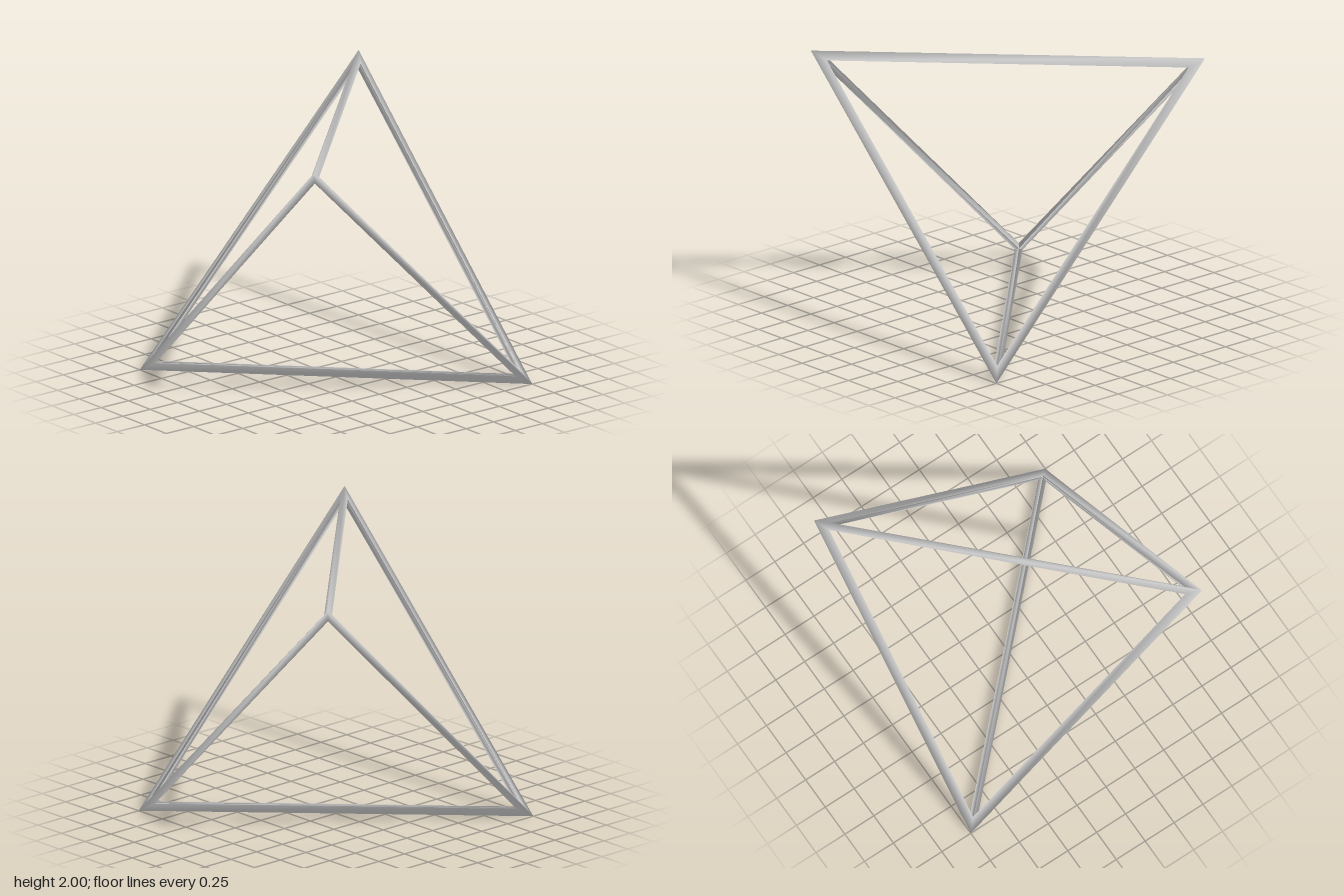
import * as THREE from 'three';

const RIDGE = 0.063;  // depth of a bar's side ridges below its sharp outer edge
const HALF = 0.028;   // half the width of a bar
const DEPTH = 0.059;  // depth of the nearly flat inner side

// The four tips sit on alternate corners of a cube.
const TIPS = [[-1, 1, 1], [1, -1, 1], [1, 1, -1], [-1, -1, -1]];

export function createModel() {
  const points = [];
  const index = [];

  // Each tip has five points: outer, three side ridges (long on x, y, z), inner.
  for (const tip of TIPS) {
    const insets = [[0, 0, 0]];
    for (let k = 0; k < 3; k++) {
      insets.push([0, 1, 2].map((i) => (i === k ? RIDGE + HALF * Math.SQRT2 : RIDGE)));
    }
    insets.push([DEPTH, DEPTH, DEPTH]);
    for (const d of insets) {
      points.push(new THREE.Vector3(...tip.map((s, i) => s * (1 - d[i]))));
    }
  }

  // Adds a triangle turned away from the middle of its bar.
  const addTriangle = (a, b, c, middle) => {
    const [p, q, r] = [a, b, c].map((i) => points[i]);
    const normal = new THREE.Vector3().subVectors(q, p).cross(new THREE.Vector3().subVectors(r, p));
    if (normal.dot(new THREE.Vector3().subVectors(p, middle)) > 0) index.push(a, b, c);
    else index.push(a, c, b);
  };

  // Six mitred wedge-section bars, one between every two tips.
  for (let v = 0; v < 4; v++) {
    for (let w = v + 1; w < 4; w++) {
      const axis = [0, 1, 2].find((i) => TIPS[v][i] === TIPS[w][i]);
      const b = 1 + ((axis + 1) % 3);
      const c = 1 + ((axis + 2) % 3);
      const start = [0, b, 4, c].map((i) => v * 5 + i);
      const end = [0, c, 4, b].map((i) => w * 5 + i);
      const middle = new THREE.Vector3();
      for (const i of [start[0], start[2], end[0], end[2]]) middle.addScaledVector(points[i], 0.25);
      for (let i = 0; i < 4; i++) {
        const j = (i + 1) % 4;
        addTriangle(start[i], start[j], end[j], middle);
        addTriangle(start[i], end[j], end[i], middle);
      }
    }
  }

  // Shared corner points give smooth normals along and between the bars.
  const geometry = new THREE.BufferGeometry().setFromPoints(points);
  geometry.setIndex(index);
  geometry.computeVertexNormals();

  const frame = new THREE.Mesh(geometry, new THREE.MeshStandardMaterial({ color: 0xcccccc }));
  frame.name = 'tetrahedronFrame';
  frame.position.y = 1;

  const model = new THREE.Group();
  model.name = 'openTetrahedron';
  model.add(frame);
  return model;
}
